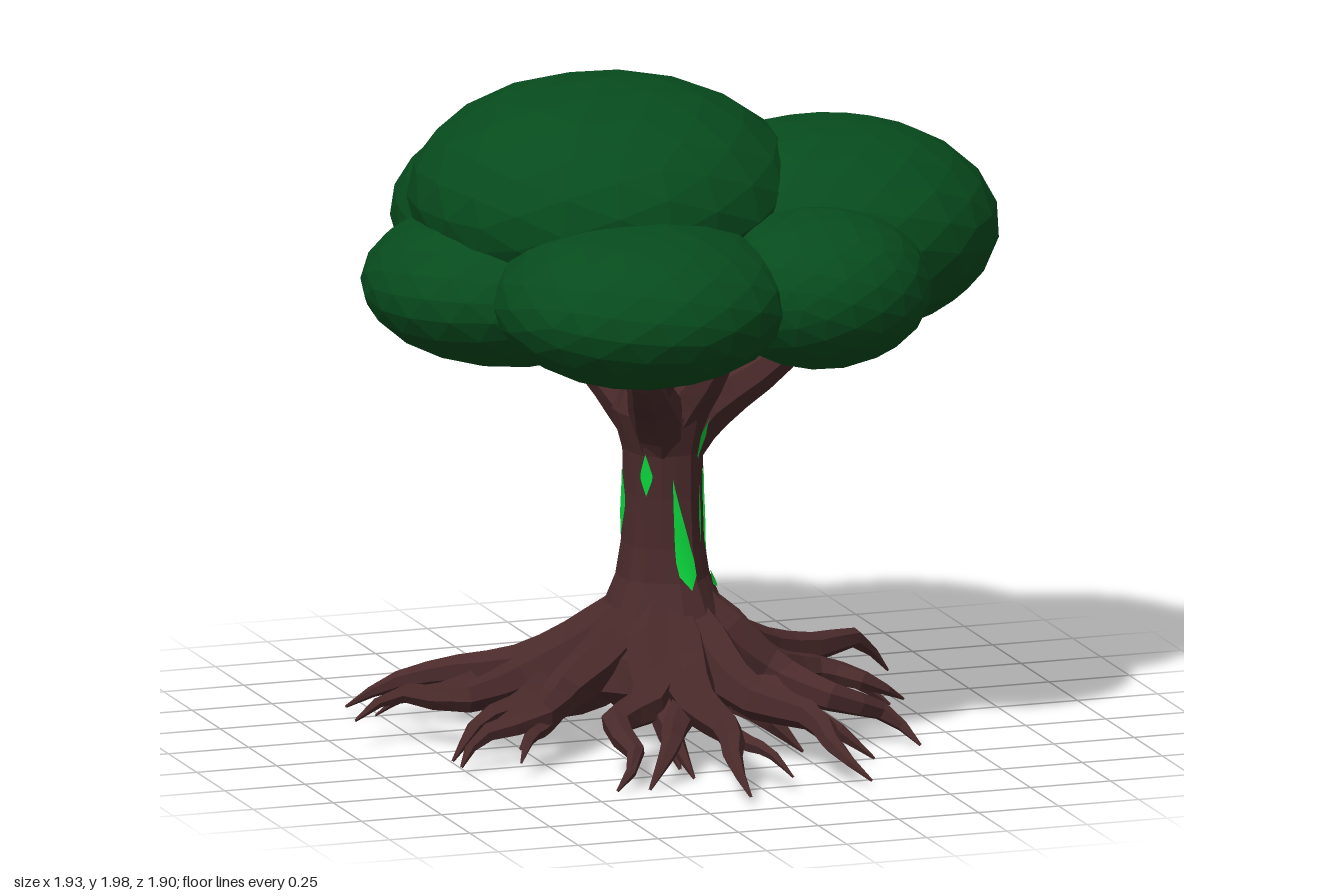
import * as THREE from 'three';
import { mergeGeometries } from 'three/addons/utils/BufferGeometryUtils.js';

const CX = -0.038, CZ = -0.01; // trunk axis
const V = (x, y, z) => new THREE.Vector3(x, y, z);

// Trunk profile: [radius, height]
const PROFILE = [[0.001, 0.13], [0.15, 0.11], [0.26, 0.19], [0.24, 0.29], [0.18, 0.4], [0.137, 0.5],
  [0.12, 0.6], [0.114, 0.75], [0.117, 0.88], [0.15, 1.0], [0.125, 1.07], [0.001, 1.1]];

const lobes = (a, y) => 1 + 0.05 * Math.sin(5 * a + y * 3) + 0.03 * Math.sin(3 * a - y * 5);

function trunkRadius(y) {
  let i = 2;
  while (i < PROFILE.length - 2 && PROFILE[i + 1][1] < y) i++;
  const [r0, y0] = PROFILE[i], [r1, y1] = PROFILE[i + 1];
  return r0 + (r1 - r0) * (y - y0) / (y1 - y0);
}

// Tapered tube through points, radii spread evenly along it
function limb(points, radii, sides = 6, seg = 9) {
  const curve = new THREE.CatmullRomCurve3(points);
  const geo = new THREE.TubeGeometry(curve, seg, 1, sides, false);
  const pos = geo.attributes.position, v = V(0, 0, 0);
  for (let i = 0; i <= seg; i++) {
    const c = curve.getPointAt(i / seg);
    const t = (i / seg) * (radii.length - 1), k = Math.min(Math.floor(t), radii.length - 2);
    const r = radii[k] + (radii[k + 1] - radii[k]) * (t - k);
    for (let j = 0; j <= sides; j++) {
      const n = i * (sides + 1) + j;
      v.fromBufferAttribute(pos, n).sub(c).multiplyScalar(r).add(c);
      pos.setXYZ(n, v.x, v.y, v.z);
    }
  }
  return geo;
}

function buildTrunk() {
  const geo = new THREE.LatheGeometry(PROFILE.map(([r, y]) => new THREE.Vector2(r, y)), 16);
  const pos = geo.attributes.position;
  for (let i = 0; i < pos.count; i++) {
    const x = pos.getX(i), y = pos.getY(i), z = pos.getZ(i), f = lobes(Math.atan2(z, x), y);
    pos.setXYZ(i, CX + x * f, y, CZ + z * f);
  }
  return geo;
}

// Main roots: tip x, y, z and the height of the bend before the tip
function buildRoots() {
  const tips = [[-0.96, 0.1, -0.13, 0.165], [-0.84, 0.04, -0.55, 0.12], [-0.42, 0.03, -0.62, 0.11],
    [0.02, 0.02, -0.72, 0.1], [0.51, 0.07, -0.76, 0.13], [0.82, 0.04, -0.46, 0.16],
    [0.7, 0.07, 0.02, 0.13], [0.62, 0.02, 0.4, 0.1], [0.32, 0.03, 0.82, 0.11],
    [-0.1, 0.04, 0.94, 0.12], [-0.42, 0.02, 0.66, 0.1], [-0.78, 0.04, 0.3, 0.11]];
  const parts = [];
  tips.forEach(([tx, ty, tz, bend], i) => {
    const a = Math.atan2(tz - CZ, tx - CX), R = Math.hypot(tx - CX, tz - CZ);
    const s = i % 2 ? 1 : -1, w = 0.11 * Math.sin(i * 2.3 + 1);
    const at = (d, y, turn = 0) => V(CX + d * Math.cos(a + turn), y, CZ + d * Math.sin(a + turn));
    parts.push(limb([at(0.07, 0.46), at(0.18, 0.32), at(R * 0.43, 0.205, w),
      at(R * 0.68, 0.165, -w), at(R * 0.86, bend, w * 0.6), at(R, ty)],
    [0.05, 0.088, 0.068, 0.048, 0.032, 0.004], 6, 11));
    // Side root
    parts.push(limb([at(R * 0.36, 0.2, w), at(R * 0.5, 0.15, s * 0.2),
      at(R * 0.64, 0.12, s * 0.24), at(R * 0.78, 0.02, s * 0.33)], [0.052, 0.042, 0.028, 0.004], 5, 7));
    // Twig and short low root
    if (i % 2) {
      parts.push(limb([at(R * 0.56, 0.16, -w * 0.4), at(R * 0.68, 0.13, -s * 0.12),
        at(R * 0.78, 0.12, -s * 0.16), at(R * 0.88, 0.06, -s * 0.2)], [0.036, 0.028, 0.018, 0.003], 5, 7));
    } else {
      parts.push(limb([at(0.12, 0.24, s * 0.26), at(0.25, 0.17, s * 0.26), at(0.36, 0.13, s * 0.2),
        at(0.48, 0.02, s * 0.28)], [0.07, 0.062, 0.038, 0.004], 5, 7));
    }
  });
  return mergeGeometries(parts);
}

// Forked branches reaching into the leaves
function buildBranches() {
  const ends = [[-0.25, 0.36], [0.12, -0.27], [0.42, 0.13], [-0.28, -0.36], [0.1, 0.22]];
  const parts = [];
  ends.forEach(([x, z], i) => {
    const dx = x - CX, dz = z - CZ, s = i % 2 ? 0.25 : -0.25;
    const p = (f, y, side = 0) => V(CX + dx * f - dz * side, y, CZ + dz * f + dx * side);
    parts.push(limb([p(0.1, 0.88), p(0.27, 1.01), p(0.58, 1.11), p(0.85, 1.22), p(1.03, 1.36)],
      [0.07, 0.085, 0.064, 0.045, 0.025], 7, 8));
    parts.push(limb([p(0.5, 1.09), p(0.6, 1.18, s * 0.6), p(0.72, 1.34, s)], [0.05, 0.04, 0.024], 6, 5));
  });
  return mergeGeometries(parts);
}

// Pointed sliver lying on the bark; wide is the height share of its widest row
function sliver(deg, y0, y1, halfWidth, lean = 0, wide = 0.45) {
  const rows = 8, pos = [], idx = [];
  for (let i = 0; i <= rows; i++) {
    const t = i / rows, y = y0 + (y1 - y0) * t;
    const w = halfWidth * (t < wide ? t / wide : (1 - t) / (1 - wide));
    for (const s of [1, 0, -1]) {
      const r0 = trunkRadius(y), a = THREE.MathUtils.degToRad(deg) + (lean * (t - 0.5) + s * w) / r0;
      const r = r0 * lobes(a, y) + 0.005;
      pos.push(CX + r * Math.cos(a), y, CZ + r * Math.sin(a));
    }
    if (i < rows) for (const k of [0, 1]) {
      const b = i * 3 + k;
      idx.push(b, b + 3, b + 1, b + 1, b + 3, b + 4);
    }
  }
  const geo = new THREE.BufferGeometry();
  geo.setAttribute('position', new THREE.Float32BufferAttribute(pos, 3));
  geo.setIndex(idx);
  geo.computeVertexNormals();
  return geo;
}

export function createModel() {
  const bark = new THREE.MeshStandardMaterial({ name: 'bark brown', color: 0x4a2a2b, flatShading: true });
  const leaf = new THREE.MeshStandardMaterial({ name: 'leaf green', color: 0x074b1d, flatShading: true });
  const glow = new THREE.MeshStandardMaterial({ name: 'bright green', color: 0x0bd53c, side: THREE.DoubleSide });
  const model = new THREE.Group();
  model.name = 'tree';
  const add = (name, geo, mat) => {
    const mesh = new THREE.Mesh(geo, mat);
    mesh.name = name;
    model.add(mesh);
    return mesh;
  };

  add('trunk', buildTrunk(), bark);
  add('roots', buildRoots(), bark);
  add('branches', buildBranches(), bark);

  // Bright cracks around the trunk
  [[86, 0.48, 0.81, 0.03, 0.04, 0.15], [134, 0.76, 0.89, 0.021], [50, 0.86, 1.0, 0.022, -0.02, 0.6],
    [41, 0.6, 0.79, 0.018], [-6, 0.55, 0.82, 0.024], [-37, 0.72, 0.88, 0.018], [-58, 0.5, 0.64, 0.02],
    [15, 0.46, 0.51, 0.03, 0, 0.2], [257, 0.79, 0.98, 0.02], [250, 0.48, 0.74, 0.021],
    [195, 0.62, 0.83, 0.02],
  ].forEach((c) => add('crack', sliver(...c), glow));

  // Leaf clumps: centre, then radii
  [['topLeaves', -0.2, 1.65, -0.07, 0.585, 0.35, 0.59], ['leftSideLeaves', 0.45, 1.525, 0.03, 0.52, 0.325, 0.495],
    ['frontRightLeaves', -0.27, 1.445, 0.45, 0.44, 0.248, 0.445], ['frontLeftLeaves', 0.28, 1.45, 0.47, 0.33, 0.238, 0.33],
    ['rightSideLeaves', -0.5, 1.415, -0.05, 0.445, 0.242, 0.445], ['backRightLeaves', -0.28, 1.5, -0.54, 0.4, 0.28, 0.42],
    ['backLeftLeaves', 0.15, 1.475, -0.34, 0.45, 0.275, 0.46],
  ].forEach(([name, x, y, z, rx, ry, rz], i) => {
    const geo = new THREE.IcosahedronGeometry(1, 3);
    geo.rotateY(i * 0.9).rotateX(i * 0.6).scale(rx, ry, rz);
    add(name, geo, leaf).position.set(x, y, z);
  });
  return model;
}
